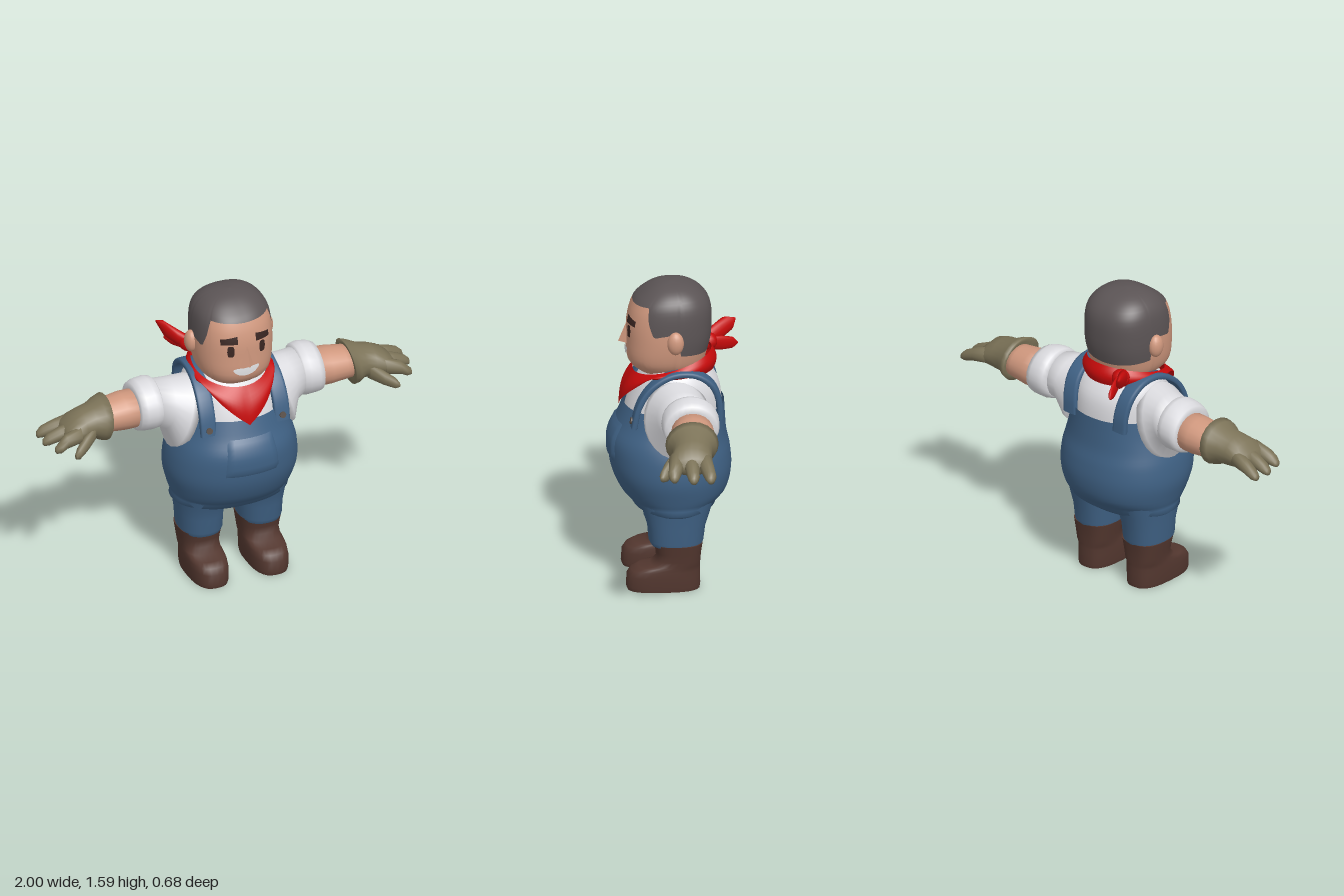
import * as THREE from 'three';

const mat = (name, color) => { const m = new THREE.MeshStandardMaterial({ color }); m.name = name; return m; };
const TAU = Math.PI * 2;

// Surface from f(u, v) -> [x, y, z]; optionally closed around u
function grid(nu, nv, f, closed = false) {
  const pos = [], idx = [], cols = closed ? nu : nu + 1;
  for (let j = 0; j <= nv; j++)
    for (let i = 0; i < cols; i++) pos.push(...f(i / nu, j / nv));
  for (let j = 0; j < nv; j++)
    for (let i = 0; i < nu; i++) {
      const a = j * cols + i, b = j * cols + (i + 1) % cols;
      idx.push(a, b, b + cols, a, b + cols, a + cols);
    }
  const g = new THREE.BufferGeometry();
  g.setAttribute('position', new THREE.Float32BufferAttribute(pos, 3));
  g.setIndex(idx);
  g.computeVertexNormals();
  return g;
}

// Smooth lookup in a profile of rows [y, halfWidth, frontZ, backZ]
function sample(rows, y) {
  const n = rows.length - 1;
  y = THREE.MathUtils.clamp(y, rows[0][0], rows[n][0]);
  let i = 0;
  while (i < n - 1 && y > rows[i + 1][0]) i++;
  const h = rows[i + 1][0] - rows[i][0], t = (y - rows[i][0]) / h;
  const slope = (k, c) => {
    const a = rows[Math.max(k - 1, 0)], b = rows[Math.min(k + 1, n)];
    return (b[c] - a[c]) / (b[0] - a[0]);
  };
  return [1, 2, 3].map(c => {
    const p = rows[i][c], q = rows[i + 1][c], t2 = t * t, t3 = t2 * t;
    return p + (q - p) * (3 * t2 - 2 * t3) + h * ((t3 - 2 * t2 + t) * slope(i, c) + (t3 - t2) * slope(i + 1, c));
  });
}

// Point on a rounded ring; angle 0 is the front, turning towards +x
function ringPoint(a, y, [rx, zf, zb], n, cx = 0, off = 0) {
  const p = v => Math.sign(v) * Math.abs(v) ** (2 / n);
  return [cx + (rx + off) * p(Math.sin(a)), y, (zf + zb) / 2 + ((zf - zb) / 2 + off) * p(Math.cos(a))];
}

// Band of a profile between two heights that may vary with the angle
function band(rows, n, lo, hi, nv, ease = v => v, nu = 64) {
  return grid(nu, nv, (u, v) => {
    const a = u * TAU, t = Math.min(a, TAU - a);
    const y = lo(t) + (hi(t) - lo(t)) * ease(v);
    return ringPoint(a, y, sample(rows, y), n);
  }, true);
}

// Upright part from rings [y, halfWidth, frontZ, backZ], ends closed with sharp rims
function upright(rows, cx, n) {
  const first = rows[0], last = rows[rows.length - 1];
  const point = r => [r[0], 0.001, (r[2] + r[3]) / 2 + 0.001, (r[2] + r[3]) / 2 - 0.001];
  const all = [point(first), first, ...rows, last, point(last)];
  return grid(28, all.length - 1, (u, v) => {
    const r = all[Math.round(v * (all.length - 1))];
    return ringPoint(u * TAU, r[0], r.slice(1), n, cx);
  }, true);
}

// Sideways part from sections [x, y, z, halfHeight, halfDepth, lean]; s picks the side
function sideways(rows, s, seg = 16) {
  const end = r => [r[0], r[1], r[2], 0, 0, 0];
  const all = [end(rows[0]), ...rows, end(rows[rows.length - 1])];
  return grid(seg, all.length - 1, (u, v) => {
    const [x, y, z, ry, rz, k = 0] = all[Math.round(v * (all.length - 1))];
    const a = u * TAU * s, dy = ry * Math.cos(a);
    return [s * (x - k * dy), y + dy, z + rz * Math.sin(a)];
  }, true);
}

export function createModel() {
  const skin = mat('skin', 0xd0987e), hairMat = mat('hair', 0x5b5455), red = mat('bandana red', 0xc60a0a);
  const denim = mat('denim', 0x3f6184), shirtMat = mat('shirt white', 0xdcdce0), gloveMat = mat('glove olive', 0x7c7358);
  const leather = mat('boot leather', 0x53372f), dark = mat('dark brown', 0x3a2622);
  const buttonMat = mat('button', 0x5a5049), teeth = mat('teeth white', 0xe8e8ea);
  red.side = denim.side = shirtMat.side = THREE.DoubleSide;
  const model = new THREE.Group();
  model.name = 'farmer';
  const add = (name, geo, m) => {
    const mesh = new THREE.Mesh(geo, m);
    mesh.name = name;
    model.add(mesh);
    return mesh;
  };

  // Head: skin below the hairline, hair above it
  const headN = 2.4;
  const head = [[1.10, .10, .13, -.10], [1.13, .135, .18, -.13], [1.17, .172, .225, -.15], [1.22, .19, .238, -.165],
    [1.3, .2, .238, -.185], [1.38, .2, .236, -.19], [1.45, .195, .222, -.188], [1.5, .183, .2, -.172],
    [1.54, .155, .155, -.138], [1.57, .11, .105, -.09], [1.585, .055, .06, -.035], [1.59, .001, .016, .014]];
  const line = [[0, 1.49], [.95, 1.5], [1.03, 1.43], [1.22, 1.35], [1.68, 1.37], [1.76, 1.25], [3.2, 1.23]];
  const hairline = t => {
    const i = Math.max(1, line.findIndex(p => p[0] >= t)), [a, b] = [line[i - 1], line[i]];
    return a[1] + (b[1] - a[1]) * (t - a[0]) / (b[0] - a[0]);
  };
  add('head', band(head, headN, () => 1.10, hairline, 14, v => v, 120), skin);
  add('hair', band(head, headN, hairline, () => 1.59, 16, v => 1 - (1 - v) ** 2, 120), hairMat);

  // Painted face details that follow the face
  const faceZ = (x, y) => {
    const [rx, zf, zb] = sample(head, y);
    return (zf + zb) / 2 + (zf - zb) / 2 * (1 - Math.abs(x / rx) ** headN) ** (1 / headN);
  };
  const plate = (name, x, w, mid, half, m) => add(name, grid(12, 3, (u, v) => {
    const t = u * 2 - 1, px = x + t * w / 2, py = mid(t) + half(t) * (v * 2 - 1);
    return [px, py, faceZ(px, py) + .006];
  }), m);
  for (const s of [-1, 1]) {
    plate('eye', s * .085, .036, () => 1.352, t => .031 * (1 - t ** 4) ** .5, dark);
    plate('eyebrow', s * .09, .082, t => 1.408 - s * t * .004, t => .018 - s * t * .003, dark);
    const ear = add('ear', new THREE.SphereGeometry(1, 16, 12), skin);
    ear.scale.set(.034, .06, .042);
    ear.position.set(s * .205, 1.325, .005);
  }
  plate('smile', -.004, .138, t => 1.228 + .018 * t * t + .004 * t, t => .018 * (1 - t ** 4) + .004, teeth);
  const noseGeo = new THREE.ConeGeometry(.046, .115, 4).toNonIndexed();
  noseGeo.computeVertexNormals();
  const nose = add('nose', noseGeo, skin);
  nose.scale.x = .8;
  nose.position.set(0, 1.325, .232);

  // Shirt and overalls
  const shirt = [[.85, .25, .26, -.235], [.95, .245, .236, -.24], [1.05, .235, .195, -.225],
    [1.12, .212, .15, -.18], [1.17, .15, .12, -.13], [1.2, .1, .1, -.1]];
  add('shirt', band(shirt, 2.2, () => .85, () => 1.2, 14), shirtMat);
  const overalls = [[.385, .02, .02, -.02], [.405, .275, .175, -.175], [.45, .3, .225, -.22], [.5, .317, .27, -.265],
    [.6, .34, .314, -.288], [.7, .335, .328, -.282], [.78, .315, .324, -.265], [.86, .286, .288, -.258], [.95, .262, .252, -.253]];
  add('overalls', band(overalls, 2.15, () => .385, () => .95, 26), denim);

  // Bib pocket
  add('pocket', grid(12, 8, (u, v) => {
    const a = (u - .5) * .86, y = .66 + .21 * v, edge = u === 0 || u === 1 || v === 0 || v === 1;
    return ringPoint(a, y, sample(overalls, y), 2.15, 0, edge ? -.004 : .009);
  }), denim);

  // Bandana with a point at the front, knot and tails behind
  add('bandana', grid(64, 8, (u, v) => {
    const a = u * TAU, t = Math.min(a, TAU - a), c = Math.cos(a);
    const lo = .93 + .2 * Math.min(1, t / 1.15), hi = 1.175 - .055 * c;
    const bulge = .018 * Math.sin(v * Math.PI);
    return ringPoint(a, lo + (hi - lo) * v, [.207 - .015 * v, .275 - .07 * v, -.205 + .015 * v], 2, 0, bulge);
  }, true), red);
  const knot = add('bandanaKnot', new THREE.SphereGeometry(.046, 14, 10), red);
  knot.position.set(-.14, 1.195, -.185);
  add('bandanaTail', sideways([[.13, 1.2, -.17, .03, .03], [.19, 1.22, -.23, .045, .04],
    [.23, 1.245, -.28, .042, .042], [.252, 1.265, -.32, .008, .012]], -1), red);
  add('bandanaTail', sideways([[.12, 1.19, -.17, .03, .03], [.16, 1.175, -.25, .038, .03],
    [.185, 1.165, -.3, .032, .028], [.205, 1.155, -.333, .006, .008]], -1), red);

  for (const s of [-1, 1]) {
    // Shoulder strap and button
    const path = new THREE.CatmullRomCurve3([[.2, .88, .215], [.2, .99, .19], [.196, 1.08, .135], [.19, 1.14, .05], [.186, 1.158, -.03],
      [.183, 1.145, -.11], [.178, 1.09, -.18], [.17, 1.0, -.215], [.165, .91, -.22]].map(p => new THREE.Vector3(s * p[0], p[1], p[2])));
    const X = new THREE.Vector3(1, 0, 0);
    add('strap', grid(16, 28, (u, v) => {
      const p = path.getPoint(v), n = X.clone().cross(path.getTangent(v)).normalize();
      const q = w => Math.sign(w) * Math.abs(w) ** .5;
      return p.addScaledVector(n, .016 * q(Math.cos(u * TAU))).addScaledVector(X, .042 * q(Math.sin(u * TAU))).toArray();
    }, true), denim);
    const button = add('button', new THREE.CylinderGeometry(.017, .017, .012, 12), buttonMat);
    button.rotation.set(Math.PI / 2 - .2, 0, 0);
    button.position.set(s * .2, .915, .226);

    // Sleeve with rolled cuff, forearm
    add('sleeve', sideways([[.24, .93, 0, .19, .168, .33], [.275, .935, 0, .185, .16, .32], [.335, .978, -.025, .128, .135, .2],
      [.41, .985, -.05, .115, .125]], s, 24), shirtMat);
    add('sleeveCuff', sideways([[.375, .985, -.05, .11, .12], [.39, .985, -.05, .13, .14], [.42, .985, -.052, .136, .146],
      [.47, .982, -.053, .131, .143], [.498, .978, -.053, .122, .133], [.5, .975, -.053, .095, .105]], s, 24), shirtMat);
    add('forearm', sideways([[.45, .97, -.055, .098, .105], [.56, .967, -.057, .096, .108], [.64, .965, -.055, .086, .1],
      [.7, .965, -.05, .08, .09]], s, 20), skin);

    // Glove: flared cuff, palm, fingers and thumb
    add('glove', sideways([[.67, .968, -.045, .09, .1, .1], [.664, .968, -.042, .116, .134, .12], [.695, .966, -.04, .108, .124, .1],
      [.735, .962, -.04, .088, .1], [.79, .957, -.033, .082, .1], [.84, .95, -.025, .068, .105], [.885, .935, -.025, .045, .1],
      [.9, .93, -.025, .02, .07]], s, 20), gloveMat);
    for (const [z, spread, tip] of [[-.09, -.022, .998], [-.022, -.005, 1], [.048, .02, .972]])
      add('finger', sideways([[.83, .95, z, .045, .04], [.91, .932, z + spread * .5, .037, .036],
        [tip - .03, .912, z + spread, .03, .03], [tip - .005, .9, z + spread, .018, .018], [tip, .897, z + spread, .006, .006]], s, 12), gloveMat);
    add('thumb', sideways([[.75, .935, .03, .045, .04], [.81, .905, .075, .042, .036], [.86, .88, .108, .032, .028],
      [.882, .87, .12, .014, .014]], s, 12), gloveMat);

    // Trouser leg and boot
    add('trouserLeg', upright([[.235, .106, .125, -.13], [.26, .112, .138, -.138], [.34, .116, .145, -.148],
      [.41, .124, .165, -.17], [.48, .13, .19, -.19]], s * .162, 2.3), denim);
    add('boot', upright([[0, .092, .246, -.118], [.02, .096, .252, -.122], [.075, .098, .248, -.121], [.105, .097, .228, -.12],
      [.122, .096, .19, -.12], [.132, .096, .13, -.121], [.16, .098, .1, -.122], [.2, .104, .103, -.126], [.248, .111, .115, -.133]], s * .163, 2.7), leather);
  }
  return model;
}
